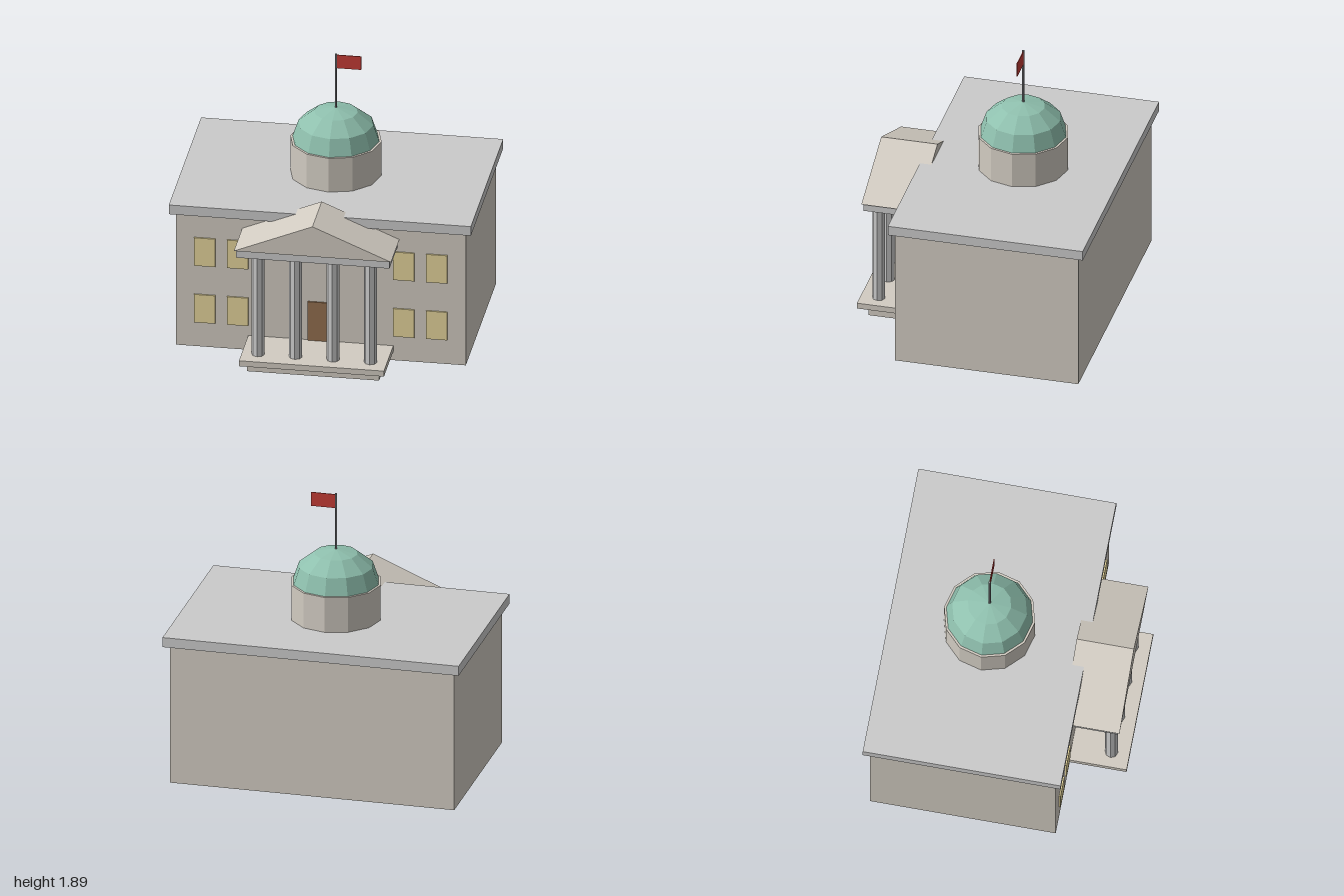
import * as THREE from 'three';

export function createModel() {
  const model = new THREE.Group();
  model.name = 'domedHall';

  const mat = (color) => new THREE.MeshStandardMaterial({ color, flatShading: true });
  const stone = mat(0xd2ccc2);
  const trim = mat(0xdededa);
  const copper = mat(0x8fc0ae);
  const glass = mat(0xe6d69c);
  const wood = mat(0x94704f);
  const metal = mat(0x909094);
  const cloth = mat(0xc43c36);

  const add = (name, geometry, material, x = 0, y = 0, z = 0) => {
    const mesh = new THREE.Mesh(geometry, material);
    mesh.name = name;
    mesh.position.set(x, y, z);
    model.add(mesh);
    return mesh;
  };
  // Box given by its extents on each axis
  const block = (name, material, [x0, x1], [y0, y1], [z0, z1]) =>
    add(name, new THREE.BoxGeometry(x1 - x0, y1 - y0, z1 - z0), material,
      (x0 + x1) / 2, (y0 + y1) / 2, (z0 + z1) / 2);
  // Upright prism with n sides
  const post = (name, material, r, n, y0, y1, x, z) =>
    add(name, new THREE.CylinderGeometry(r, r, y1 - y0, n), material, x, (y0 + y1) / 2, z);

  const frontZ = 0.445;

  // Main hall and overhanging flat roof
  block('hall', stone, [-0.96, 0.96], [0, 0.965], [-0.79, frontZ]);
  block('roof', trim, [-1, 1], [0.965, 1.032], [-0.83, 0.485]);

  // Portico steps, columns and beam
  block('lowerStep', stone, [-0.437, 0.437], [0, 0.065], [0.42, 0.76]);
  block('upperStep', stone, [-0.48, 0.48], [0.065, 0.105], [0.42, 0.827]);
  for (let i = 0; i < 4; i++) {
    post('column', trim, 0.043, 8, 0.105, 0.828, (i - 1.5) * 0.248, 0.707);
  }
  block('porticoBeam', trim, [-0.508, 0.508], [0.828, 0.881], [0.42, 0.775]);

  // Gabled pediment running back onto the roof
  const gable = new THREE.Shape([
    new THREE.Vector2(-0.52, 0.881),
    new THREE.Vector2(0.52, 0.881),
    new THREE.Vector2(0, 1.098),
  ]);
  add('pediment', new THREE.ExtrudeGeometry(gable, { depth: 0.38, bevelEnabled: false }),
    stone, 0, 0, 0.407);

  // Door and two rows of windows
  block('door', wood, [-0.085, 0.085], [0, 0.385], [0.435, 0.455]);
  for (const side of [-1, 1]) {
    for (const x of [0.55, 0.768]) {
      for (const y of [0.278, 0.69]) {
        add('window', new THREE.BoxGeometry(0.14, 0.203, 0.02), glass, side * x, y, 0.445);
      }
    }
  }

  // Drum and faceted dome
  const domeZ = -0.172;
  post('drum', stone, 0.302, 12, 1.0, 1.277, 0, domeZ);
  const dome = add('dome',
    new THREE.SphereGeometry(0.287, 12, 3, 0, Math.PI * 2, 0, Math.PI / 2),
    copper, 0, 1.277, domeZ);
  dome.scale.y = 0.8;

  // Flagpole and flag
  post('flagpole', metal, 0.008, 6, 1.48, 1.892, 0, domeZ);
  block('flag', cloth, [0.004, 0.167], [1.79, 1.886], [domeZ - 0.003, domeZ + 0.003]);

  return model;
}
